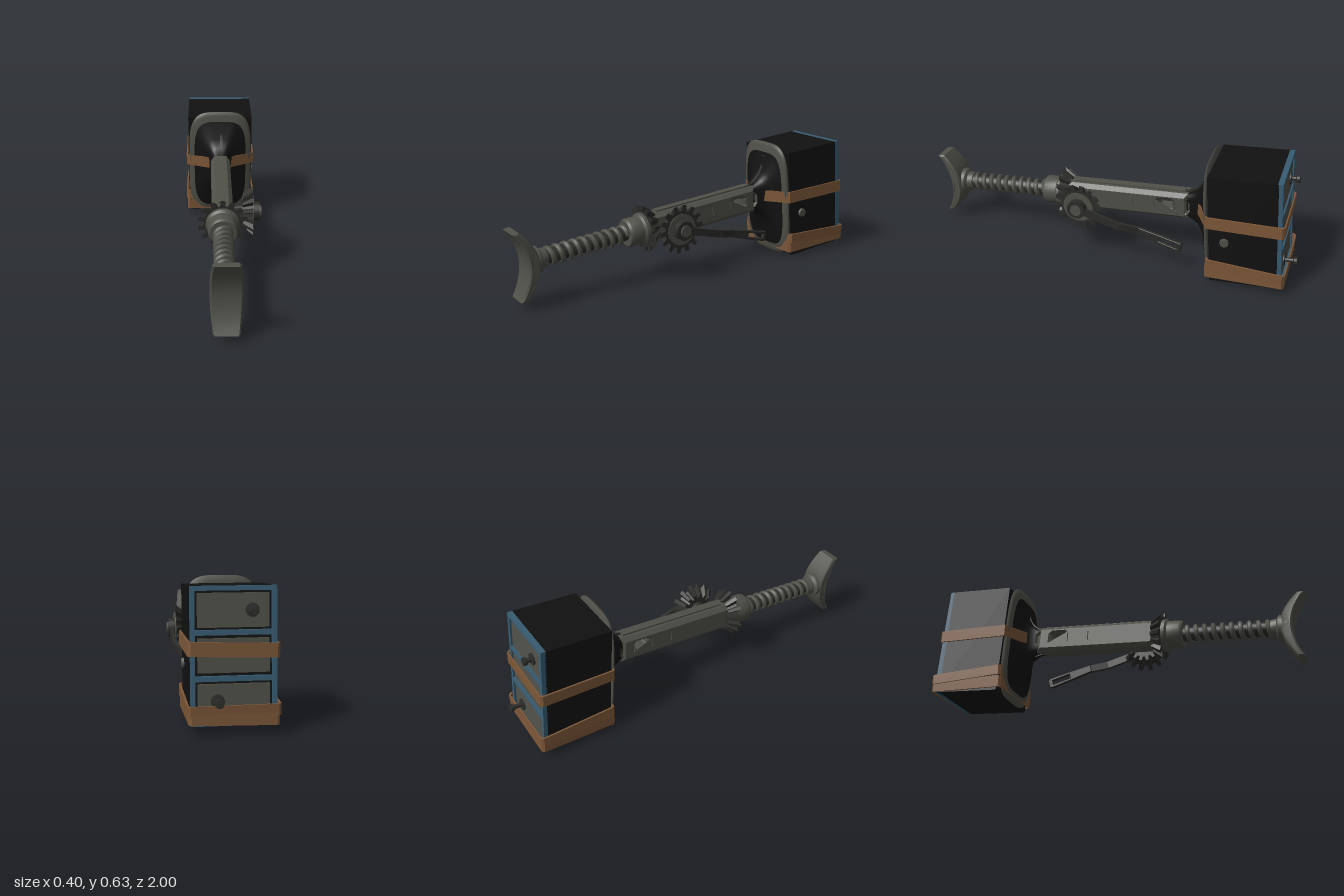
import * as THREE from 'three';
import { toCreasedNormals } from 'three/addons/utils/BufferGeometryUtils.js';

const material = (name, color) => {
  const m = new THREE.MeshStandardMaterial({ color });
  m.name = name;
  return m;
};

export function createModel() {
  const steel = material('grey steel', 0x4f5048);
  const iron = material('dark iron', 0x2c2d29);
  const black = material('black paint', 0x111111);
  const leather = material('brown leather', 0x7c5738);
  const blue = material('blue frame', 0x385c72);

  const model = new THREE.Group();
  model.name = 'jackHammer';
  // Everything is built along the z axis, then tilted as a whole
  const tool = new THREE.Group();
  tool.name = 'tool';
  tool.position.y = 0.3;
  tool.rotation.x = 0.08;
  model.add(tool);

  const add = (name, geo, mat, x = 0, y = 0, z = 0, parent = tool) => {
    const mesh = new THREE.Mesh(geo, mat);
    mesh.name = name;
    mesh.position.set(x, y, z);
    parent.add(mesh);
    return mesh;
  };
  const box = (name, mat, w, h, d, x, y, z, parent) =>
    add(name, new THREE.BoxGeometry(w, h, d), mat, x, y, z, parent);
  const vecs = (pts) => pts.map(([a, b]) => new THREE.Vector2(a, b));
  const rect = (a0, a1, b0, b1) => vecs([[a0, b0], [a1, b0], [a1, b1], [a0, b1]]);

  // Side profile in (z, y), extruded evenly to both sides along x
  const sideExtrude = (shape, width, bevel, steps = 1) => {
    const g = new THREE.ExtrudeGeometry(shape, {
      depth: width - 2 * bevel, steps, curveSegments: 12, bevelEnabled: bevel > 0,
      bevelSize: bevel, bevelThickness: bevel, bevelOffset: -bevel, bevelSegments: 1,
    });
    g.translate(0, 0, bevel - width / 2);
    return g.rotateY(-Math.PI / 2);
  };
  // Turned part along z from [radius, z] points
  const turned = (pts, seg = 24) =>
    toCreasedNormals(new THREE.LatheGeometry(vecs(pts), seg).rotateX(Math.PI / 2), 0.6);

  // Loft of rounded-rectangle rings [halfX, halfY, centreY, z], running towards -z
  const loft = (rings, n = 48) => {
    const pos = [], idx = [];
    const round = (v) => Math.sign(v) * Math.sqrt(Math.abs(v));
    rings.forEach(([hx, hy, cy, z]) => {
      for (let j = 0; j < n; j++) {
        const a = (j / n) * Math.PI * 2;
        pos.push(hx * round(Math.cos(a)), cy + hy * round(Math.sin(a)), z);
      }
    });
    for (let i = 0; i < rings.length - 1; i++) {
      for (let j = 0; j < n; j++) {
        const a = i * n + j, b = i * n + (j + 1) % n;
        idx.push(a, a + n, b, b, a + n, b + n);
      }
    }
    const g = new THREE.BufferGeometry();
    g.setAttribute('position', new THREE.Float32BufferAttribute(pos, 3));
    g.setIndex(idx);
    g.computeVertexNormals();
    return g;
  };

  // Cabinet forming the head
  const cy = -0.035;
  box('cabinet', black, 0.368, 0.588, 0.34, 0, cy, -0.735);
  for (const s of [-1, 1]) {
    box('frameUpright', blue, 0.02, 0.588, 0.026, s * 0.174, cy, -0.913);
    box('frameRail', blue, 0.33, 0.02, 0.026, 0, cy + s * 0.284, -0.913);
  }
  for (const y of [0.064, -0.13]) box('frameDivider', blue, 0.33, 0.022, 0.026, 0, y, -0.913);
  [[0.157, 0.145, -0.08], [-0.033, 0.145, null], [-0.225, 0.145, 0.07]].forEach(([y, h, kx], i) => {
    const reach = i === 2 ? 0.02 : 0;
    box('drawerFront', steel, 0.305, h, 0.016, 0, y, -0.912);
    if (kx === null) return;
    const knob = turned([[0, 0], [0.03, 0], [0.03, 0.008], [0.011, 0.01], [0.011, 0.03 + reach],
      [0.02, 0.034 + reach], [0.02, 0.05 + reach], [0, 0.052 + reach]], 14);
    add('drawerKnob', knob, iron, kx, y, -0.919).rotation.y = Math.PI;
  });
  const bolt = add('sideBolt', new THREE.CylinderGeometry(0.022, 0.025, 0.012, 8), steel, 0.189, -0.095, -0.645);
  bolt.rotation.z = -Math.PI / 2;

  // Flared mounting plate with a curled rim
  add('plateFlare', loft([
    [0.04, 0.062, 0, -0.4], [0.045, 0.075, 0, -0.44], [0.058, 0.1, 0, -0.48],
    [0.09, 0.15, -0.005, -0.51], [0.15, 0.265, -0.022, -0.535],
  ]), black);
  add('plateRim', loft([
    [0.15, 0.265, -0.022, -0.535], [0.172, 0.3, -0.024, -0.542], [0.181, 0.318, -0.022, -0.548],
    [0.181, 0.318, -0.022, -0.558], [0.15, 0.28, -0.022, -0.564], [0.001, 0.001, -0.022, -0.564],
  ]), steel);
  const rib = new THREE.Shape();
  rib.moveTo(-0.4, 0.05);
  rib.lineTo(-0.4, 0.075);
  rib.quadraticCurveTo(-0.51, 0.09, -0.53, 0.225);
  rib.lineTo(-0.545, 0.225);
  rib.lineTo(-0.545, 0.05);
  add('topRib', sideExtrude(rib, 0.016, 0), iron, 0.006);
  add('bottomRib', sideExtrude(rib, 0.016, 0).rotateZ(Math.PI).scale(1, 0.75, 1), black, 0, -0.015);

  // Straps around the cabinet: plan outline in (x, distance behind the cabinet centre)
  const strap = (name, outline, height, y, rx, rz) => {
    const shape = new THREE.Shape(vecs(outline));
    shape.holes.push(new THREE.Path(vecs(outline.map(([a, b]) => [a * 0.955, b * 0.965]))));
    const g = new THREE.ExtrudeGeometry(shape, { depth: height, bevelEnabled: false });
    g.translate(0, 0, -height / 2).rotateX(-Math.PI / 2);
    add(name, g, leather, 0, y, -0.745).rotation.set(rx, 0, rz);
  };
  const loop = (w, front, back) => [
    [-w, front + 0.012], [-w + 0.012, front], [w - 0.012, front], [w, front + 0.012],
    [w, back - 0.012], [w - 0.012, back], [-w + 0.012, back], [-w, back - 0.012],
  ];
  strap('middleStrap', [[-0.196, -0.19], [-0.06, -0.262], [0.06, -0.262], [0.196, -0.19],
    [0.196, 0.183], [0.184, 0.195], [-0.184, 0.195], [-0.196, 0.183]], 0.062, 0.0, -0.04, 0.03);
  strap('lowerStrap', loop(0.2, -0.2, 0.2), 0.052, -0.244, -0.11, -0.01);
  strap('bottomStrap', loop(0.194, -0.205, 0.197), 0.06, -0.288, -0.04, 0.02);

  // Slotted beam
  const beam = new THREE.Shape(rect(-0.43, 0.23, -0.07, 0.074));
  for (const [a, b] of [[-0.42, -0.375], [-0.345, -0.27], [-0.235, -0.155], [-0.12, -0.05]]) {
    beam.holes.push(new THREE.Path(vecs([[a, -0.012], [a, 0.02], [a + 0.008, 0.027], [b - 0.008, 0.027],
      [b, 0.02], [b, -0.012], [b - 0.008, -0.02], [a + 0.008, -0.02]])));
  }
  add('slottedBeam', sideExtrude(beam, 0.108, 0.02), steel);
  box('beamSpine', steel, 0.04, 0.012, 0.6, 0, 0.076, -0.11);

  // Bevel gears: the star profile shrinks towards its inner side (local z = 0)
  const bevelGear = (r, depth, n = 14) => {
    const pts = [];
    for (let i = 0; i < n; i++) {
      for (const [f, k] of [[-0.32, 0.76], [-0.18, 1], [0.18, 1], [0.32, 0.76]]) {
        const a = ((i + f) / n) * Math.PI * 2;
        pts.push([Math.cos(a) * r * k, Math.sin(a) * r * k]);
      }
    }
    const g = new THREE.ExtrudeGeometry(new THREE.Shape(vecs(pts)), { depth, bevelEnabled: false });
    const p = g.attributes.position;
    for (let i = 0; i < p.count; i++) {
      const s = 0.68 + 0.32 * (p.getZ(i) / depth);
      p.setXY(i, p.getX(i) * s, p.getY(i) * s);
    }
    g.computeVertexNormals();
    return g;
  };
  add('driveGear', bevelGear(0.126, 0.055), iron, 0, 0, 0.212).rotation.z = 0.22;
  add('collar', turned([[0, 0.25], [0.085, 0.25], [0.085, 0.285], [0.074, 0.295], [0.074, 0.36],
    [0.066, 0.372], [0, 0.372]], 28), steel);

  // Crank with its gear, on an axle across the beam
  const crank = new THREE.Group();
  crank.name = 'crank';
  crank.position.set(0, 0, 0.13);
  tool.add(crank);
  add('crankGear', bevelGear(0.128, 0.05), iron, 0.105, 0, 0, crank).rotation.y = Math.PI / 2;
  const disc = (name, r, x0, x1, mat) => {
    const g = new THREE.CylinderGeometry(r, r, x1 - x0, 20).rotateZ(Math.PI / 2);
    add(name, g, mat, (x0 + x1) / 2, 0, 0, crank);
  };
  disc('axle', 0.04, 0, 0.12, iron);
  disc('gearFace', 0.082, 0.15, 0.16, steel);
  disc('crankHub', 0.05, 0.155, 0.192, iron);
  disc('hubCap', 0.03, 0.19, 0.2, steel);
  const arm = new THREE.Group();
  arm.name = 'crankArm';
  arm.rotation.x = -0.33;
  crank.add(arm);
  box('armRoot', iron, 0.018, 0.038, 0.23, 0.177, 0, -0.125, arm);
  box('armBend', iron, 0.017, 0.038, 0.115, 0.16, 0, -0.285, arm).rotation.y = 0.33;
  const grip = new THREE.Shape(vecs([[-0.325, -0.019], [-0.325, 0.019], [-0.43, 0.024], [-0.565, 0.028],
    [-0.575, 0.018], [-0.575, -0.018], [-0.565, -0.028], [-0.43, -0.024]]));
  grip.holes.push(new THREE.Path(rect(-0.552, -0.45, -0.012, 0.012)));
  add('armGrip', sideExtrude(grip, 0.02, 0.003), iron, 0.143, 0, 0, arm);

  // Lead screw with a helical thread
  add('screwCore', turned([[0, 0.36], [0.037, 0.36], [0.037, 0.85], [0, 0.85]], 20), iron);
  const helix = [];
  for (let i = 0; i <= 160; i++) {
    const a = (i / 16) * Math.PI * 2;
    helix.push(new THREE.Vector3(Math.cos(a) * 0.038, Math.sin(a) * 0.038, 0.375 + 0.455 * (i / 160)));
  }
  add('screwThread', new THREE.TubeGeometry(new THREE.CatmullRomCurve3(helix), 240, 0.0135, 6), steel);

  // Curved foot pad on its neck
  add('padNeck', turned([[0, 0.815], [0.046, 0.815], [0.05, 0.845], [0.066, 0.855], [0.068, 0.9], [0, 0.9]], 24), steel);
  const pad = new THREE.Shape();
  pad.moveTo(0.985, 0.172);
  pad.quadraticCurveTo(0.862, 0, 0.985, -0.172);
  pad.lineTo(0.95, -0.174);
  pad.quadraticCurveTo(0.885, -0.1, 0.872, -0.04);
  pad.lineTo(0.872, 0.04);
  pad.quadraticCurveTo(0.885, 0.1, 0.95, 0.174);
  const padGeo = sideExtrude(pad, 0.146, 0.008);
  const pp = padGeo.attributes.position;
  for (let i = 0; i < pp.count; i++) {
    pp.setX(i, pp.getX(i) * (1 - 6.5 * pp.getY(i) ** 2));
  }
  add('footPad', toCreasedNormals(padGeo, 0.5), steel, 0.004);

  return model;
}
